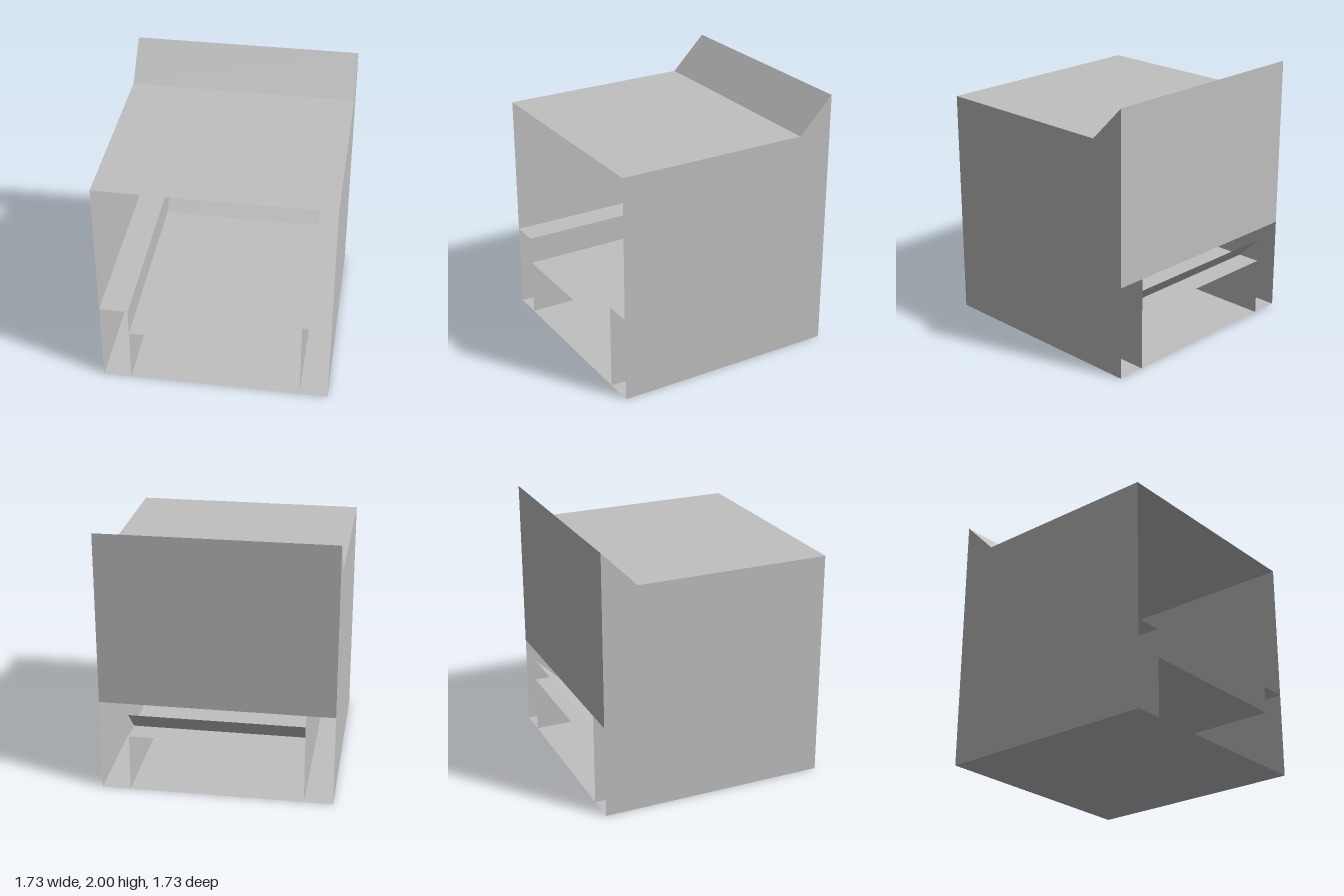
import * as THREE from 'three';

const HALF = 0.865;   // half width and half depth of the cabinet
const INNER = 0.65;   // half width between the ledges
const KINK = -0.6;    // depth where roof and ledges turn upwards

export function createModel() {
  const model = new THREE.Group();
  model.name = 'openCabinet';
  const grey = new THREE.MeshStandardMaterial({ color: 0xc0c0c0, side: THREE.DoubleSide });
  grey.name = 'plain grey';

  function add(name, geometry) {
    const mesh = new THREE.Mesh(geometry, grey);
    mesh.name = name;
    model.add(mesh);
    return mesh;
  }

  // Folded sheet: a [z, y] path swept from x0 to x1, flat on every fold
  function sheet(name, path, x0, x1) {
    const pos = [];
    for (let i = 0; i < path.length - 1; i++) {
      const [za, ya] = path[i];
      const [zb, yb] = path[i + 1];
      pos.push(x0, ya, za, x1, ya, za, x1, yb, zb);
      pos.push(x0, ya, za, x1, yb, zb, x0, yb, zb);
    }
    const geometry = new THREE.BufferGeometry();
    geometry.setAttribute('position', new THREE.Float32BufferAttribute(pos, 3));
    geometry.computeVertexNormals();
    return add(name, geometry);
  }

  // Upright panel in the zy plane; its front face points along the sign of x
  function upright(name, outline, x) {
    const shape = new THREE.Shape(outline.map(([z, y]) => new THREE.Vector2(x > 0 ? -z : z, y)));
    const geometry = new THREE.ShapeGeometry(shape);
    geometry.rotateY(x > 0 ? Math.PI / 2 : -Math.PI / 2);
    geometry.translate(x, 0, 0);
    return add(name, geometry);
  }

  // Side profile: flat top that kinks up at the back
  const topPath = (y, rise) => [[HALF, y], [KINK, y], [-HALF, y + rise]];
  const sideOutline = (y, rise) => [[HALF, 0], ...topPath(y, rise), [-HALF, 0]];

  // Outer shell
  sheet('roof', topPath(1.733, 0.267), -HALF, HALF);
  sheet('backWall', [[-HALF, 2], [-HALF, 0.705]], -HALF, HALF);
  sheet('floor', [[HALF, 0], [-HALF, 0]], -HALF, HALF);

  // Side walls and the raised ledges along them
  for (const [side, s] of [['left', 1], ['right', -1]]) {
    upright(side + 'Wall', sideOutline(1.733, 0.267), s * HALF);
    upright(side + 'LedgeWall', sideOutline(0.653, 0.267), s * INNER);
    const [x0, x1] = s > 0 ? [INNER, HALF] : [-HALF, -INNER];
    sheet(side + 'LedgeTop', topPath(0.653, 0.267), x0, x1);
  }

  // Shelf between the ledges, with a sloped lip above its back edge
  sheet('shelf', [[HALF, 0.44], [-HALF, 0.44]], -INNER, INNER);
  sheet('shelfLip', [[-0.69, 0.44], [-HALF, 0.615]], -INNER, INNER);

  return model;
}
